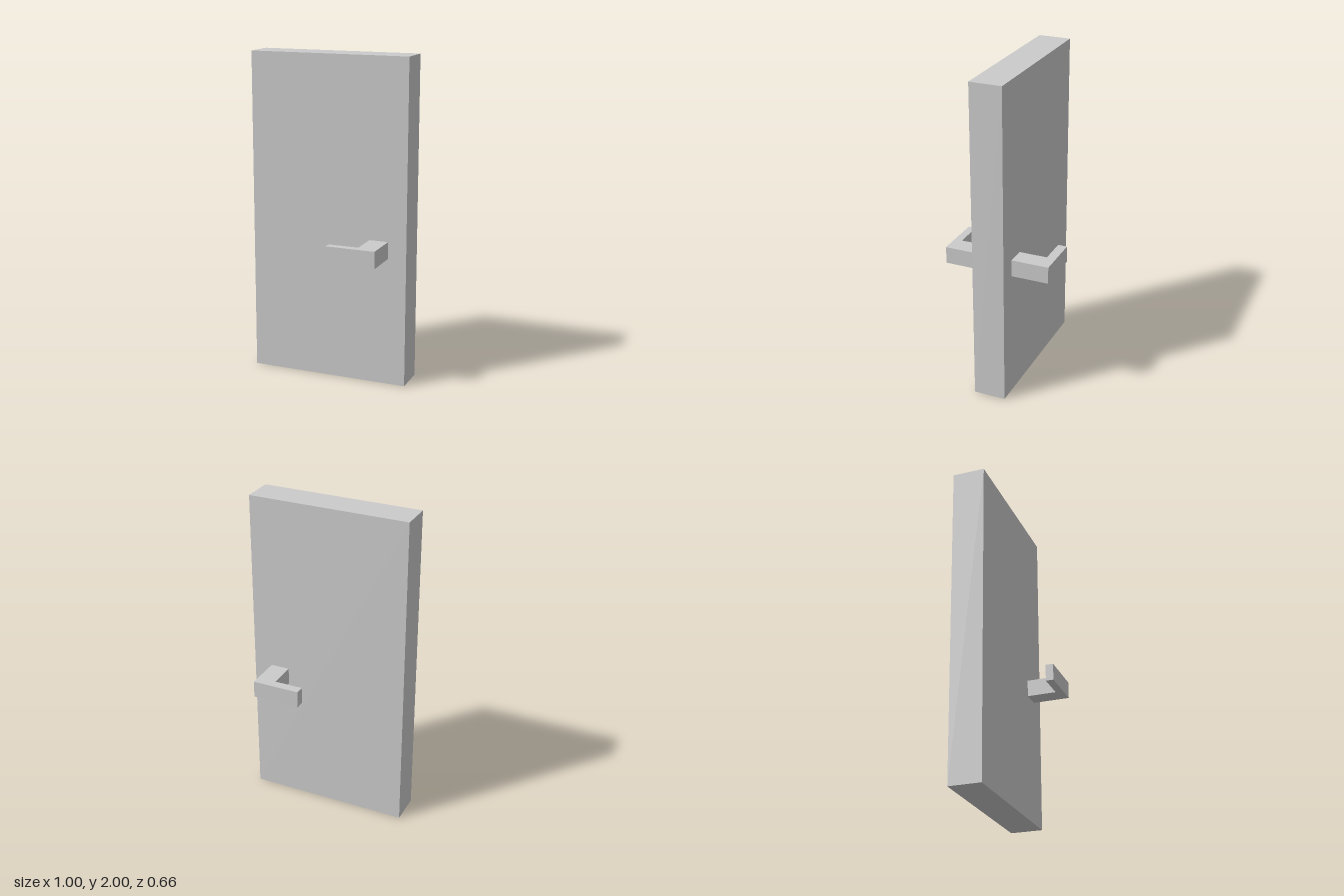
import * as THREE from 'three';

const material = new THREE.MeshStandardMaterial({ color: 0xcccccc, flatShading: true });

// L-shaped lever handle: a stem out of the door and a grip turned towards its middle
function makeHandle(name, side, tipX, gripZ, outerZ) {
  const bottom = 0.795, top = 0.9, stemIn = 0.267, stemOut = 0.385, doorZ = 0.1;
  const outline = [
    [stemOut, doorZ], [stemOut, outerZ], [tipX, outerZ],
    [tipX, gripZ], [stemIn, gripZ], [stemIn, doorZ],
  ].map(([x, z]) => new THREE.Vector2(x, -side * z));
  const geometry = new THREE.ExtrudeGeometry(new THREE.Shape(outline), {
    depth: top - bottom, bevelEnabled: false,
  });
  geometry.rotateX(-Math.PI / 2).translate(0, bottom, 0);
  const handle = new THREE.Mesh(geometry, material);
  handle.name = name;
  return handle;
}

export function createModel() {
  const model = new THREE.Group();
  model.name = 'door';

  // Door slab
  const panel = new THREE.Mesh(new THREE.BoxGeometry(1, 2, 0.2), material);
  panel.name = 'doorPanel';
  panel.position.y = 1;
  model.add(panel);

  // One handle on each face, the rear grip slightly thicker and shorter
  model.add(makeHandle('frontHandle', 1, 0.077, 0.282, 0.33));
  model.add(makeHandle('backHandle', -1, 0.088, 0.275, 0.332));
  return model;
}
